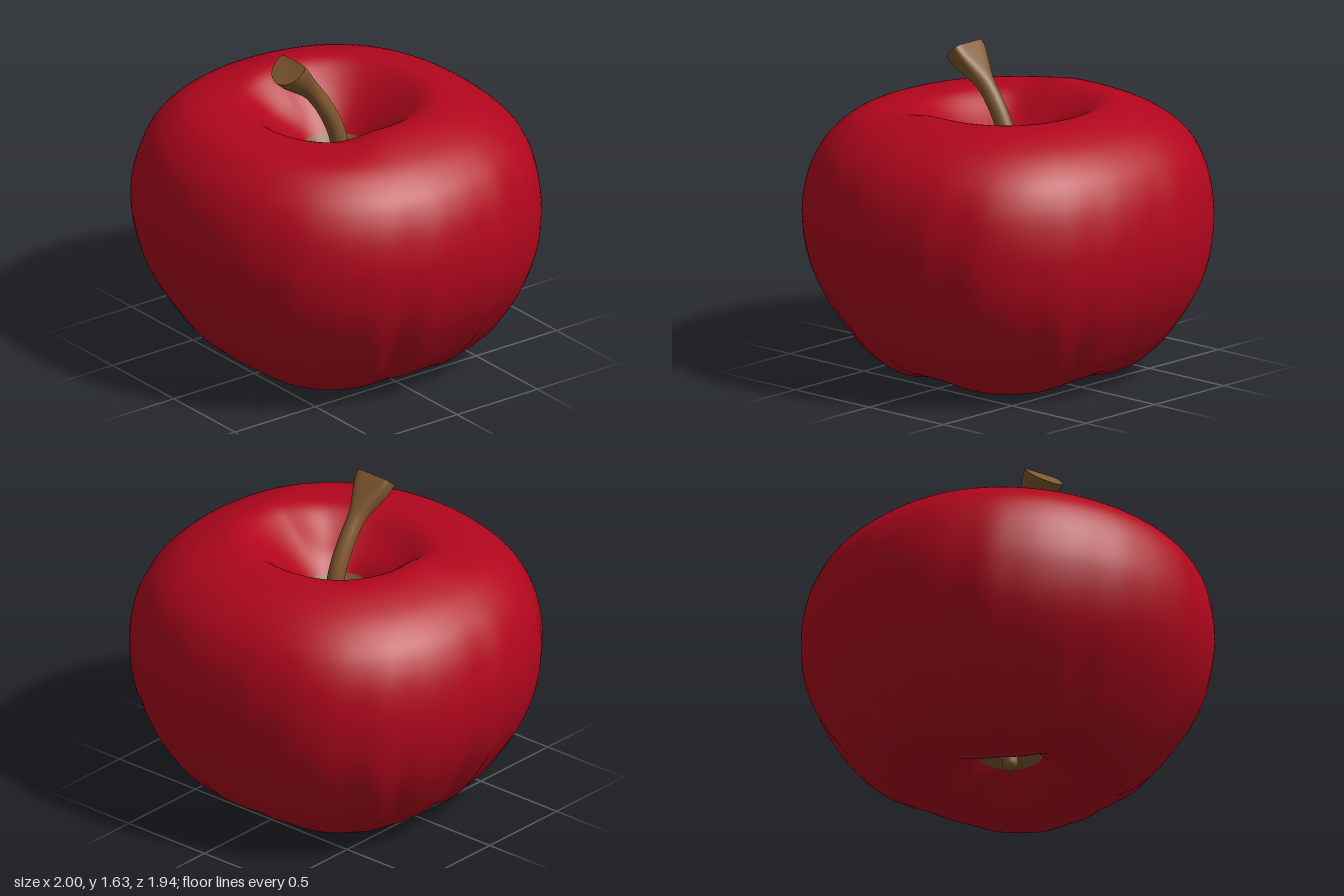
import * as THREE from 'three';
import { mergeVertices } from 'three/addons/utils/BufferGeometryUtils.js';

const skin = new THREE.MeshStandardMaterial({ color: 0xb1061d });
skin.name = 'red skin';
const wood = new THREE.MeshStandardMaterial({ color: 0x80582f });
wood.name = 'brown stem';

const { smoothstep } = THREE.MathUtils;
const v2 = (list) => list.map(([x, y]) => new THREE.Vector2(x, y));

// Turns a round lathe point into the uneven, ribbed fruit shape
function deform(p) {
  const r = Math.hypot(p.x, p.z);
  if (r < 1e-5) return;
  const a = Math.atan2(p.x, p.z); // 0 faces the front
  const c = Math.cos(a);
  const low = 1 - smoothstep(p.y, 0.1, 0.9);
  // squarish outline, fuller at the back corners and near the base
  let f = 1.002 - 0.014 * Math.cos(2 * a) - (0.019 + 0.014 * low) * Math.cos(4 * a) - 0.013 * c * Math.sin(2 * a) ** 2;
  // vertical ribs, strongest on the flanks and near the base
  const flank = 0.3 + 0.7 * Math.sin(a) ** 2 + 0.3 * Math.max(0, -c);
  const t = a + 0.06 * Math.sin(3 * p.y);
  const rib = Math.sin(17 * t + 0.6) + 0.6 * Math.sin(26 * t + 1.3) + 0.5 * Math.sin(9 * t);
  f += rib * flank * (0.004 + 0.009 * low) * smoothstep(r, 0.4, 0.8) * (1 - smoothstep(p.y, 0.85, 1.35));
  // the back is fuller than the front near the base
  f -= 0.025 * c * low * smoothstep(r, 0.4, 0.7);
  const k = 1 + (f - 1) * smoothstep(r, 0.15, 0.6);
  // lower rim across the front, lobes under the base
  const topDip = -0.045 * smoothstep(c, 0.1, 0.7) * smoothstep(p.y, 1.12, 1.3) * (1 - smoothstep(r, 0.48, 0.78));
  const lobes = 0.045 * (0.5 + 0.5 * Math.cos(4 * a)) ** 2 * smoothstep(r, 0.16, 0.32)
    * (1 - smoothstep(p.y, 0.06, 0.25)) * (1 - smoothstep(r, 0.5, 0.72));
  p.set(p.x * k, p.y + topDip + lobes, p.z * k);
}

// Lathe with the fruit's deformation and seamless smooth normals
function fruitPart(name, points, material, steps) {
  const profile = new THREE.SplineCurve(v2(points)).getPoints(steps);
  let g = new THREE.LatheGeometry(profile, 160);
  const pos = g.attributes.position;
  const p = new THREE.Vector3();
  for (let i = 0; i < pos.count; i++) {
    p.fromBufferAttribute(pos, i);
    deform(p);
    pos.setXYZ(i, p.x, p.y, p.z);
  }
  g.deleteAttribute('uv');
  g.deleteAttribute('normal');
  g = mergeVertices(g);
  g.computeVertexNormals();
  const mesh = new THREE.Mesh(g, material);
  mesh.name = name;
  return mesh;
}

// Curved stem that flares into a flat-topped, D-shaped end
function stemGeometry() {
  const path = new THREE.CatmullRomCurve3([
    [0.9, -0.05], [1.15, -0.02], [1.3, 0.045], [1.43, 0.135], [1.6, 0.285],
  ].map(([y, z]) => new THREE.Vector3(0, y, z)));
  const rows = 32, sides = 32;
  const pos = [], index = [];
  const ring = (t) => {
    const p = path.getPointAt(t), d = path.getTangentAt(t);
    const flare = smoothstep(t, 0.68, 1);
    const w = 0.043 + 0.06 * flare;
    for (let j = 0; j < sides; j++) {
      const a = (j / sides) * Math.PI * 2;
      const c = Math.cos(a), s = Math.sin(a);
      const n = s > 0 ? 1 - 0.6 * flare : 1; // squarer upper half at the end
      const h = 0.045 + (s > 0 ? 0.004 : 0.052) * flare;
      const u = w * Math.sign(c) * Math.abs(c) ** n;
      const v = h * Math.sign(s) * Math.abs(s) ** n;
      pos.push(p.x + u, p.y + v * d.z, p.z - v * d.y);
    }
  };
  for (let i = 0; i <= rows; i++) ring(i / rows);
  for (let i = 0; i < rows; i++) {
    for (let j = 0; j < sides; j++) {
      const k = (j + 1) % sides;
      const a = i * sides + j, b = i * sides + k;
      index.push(a, b, b + sides, a, b + sides, a + sides);
    }
  }
  // cut face at the end, with its own ring for a sharp edge
  const start = (rows + 1) * sides;
  ring(1);
  const tip = path.getPointAt(1);
  pos.push(tip.x, tip.y - 0.005, tip.z - 0.005);
  for (let j = 0; j < sides; j++) index.push(start + sides, start + j, start + (j + 1) % sides);
  const g = new THREE.BufferGeometry();
  g.setAttribute('position', new THREE.Float32BufferAttribute(pos, 3));
  g.setIndex(index);
  g.computeVertexNormals();
  return g;
}

export function createModel() {
  const group = new THREE.Group();
  group.name = 'apple';

  // Red flesh from the lower hollow, over the outside, into the upper hollow
  group.add(fruitPart('body', [
    [0.16, 0.18], [0.22, 0.1], [0.3, 0.035], [0.4, 0.002], [0.51, 0.012], [0.6, 0.055], [0.68, 0.12],
    [0.77, 0.22], [0.9, 0.42], [0.975, 0.61], [1.0, 0.8], [0.985, 0.96], [0.945, 1.09], [0.875, 1.2],
    [0.75, 1.3], [0.58, 1.368], [0.46, 1.372], [0.35, 1.3], [0.235, 1.19], [0.16, 1.1],
  ], skin, 100));

  // Brown hearts of the two hollows
  group.add(fruitPart('upperHollow', [[0.16, 1.1], [0.08, 1.0], [0, 0.94]], wood, 8));
  group.add(fruitPart('lowerHollow', [[0, 0.27], [0.08, 0.24], [0.16, 0.18]], wood, 8));

  const stem = new THREE.Mesh(stemGeometry(), wood);
  stem.name = 'stem';
  group.add(stem);

  // Withered tip under the fruit
  const tip = new THREE.Mesh(new THREE.CapsuleGeometry(0.04, 0.12, 6, 16), wood);
  tip.name = 'blossomTip';
  tip.position.set(0, 0.2, 0);
  group.add(tip);

  return group;
}
